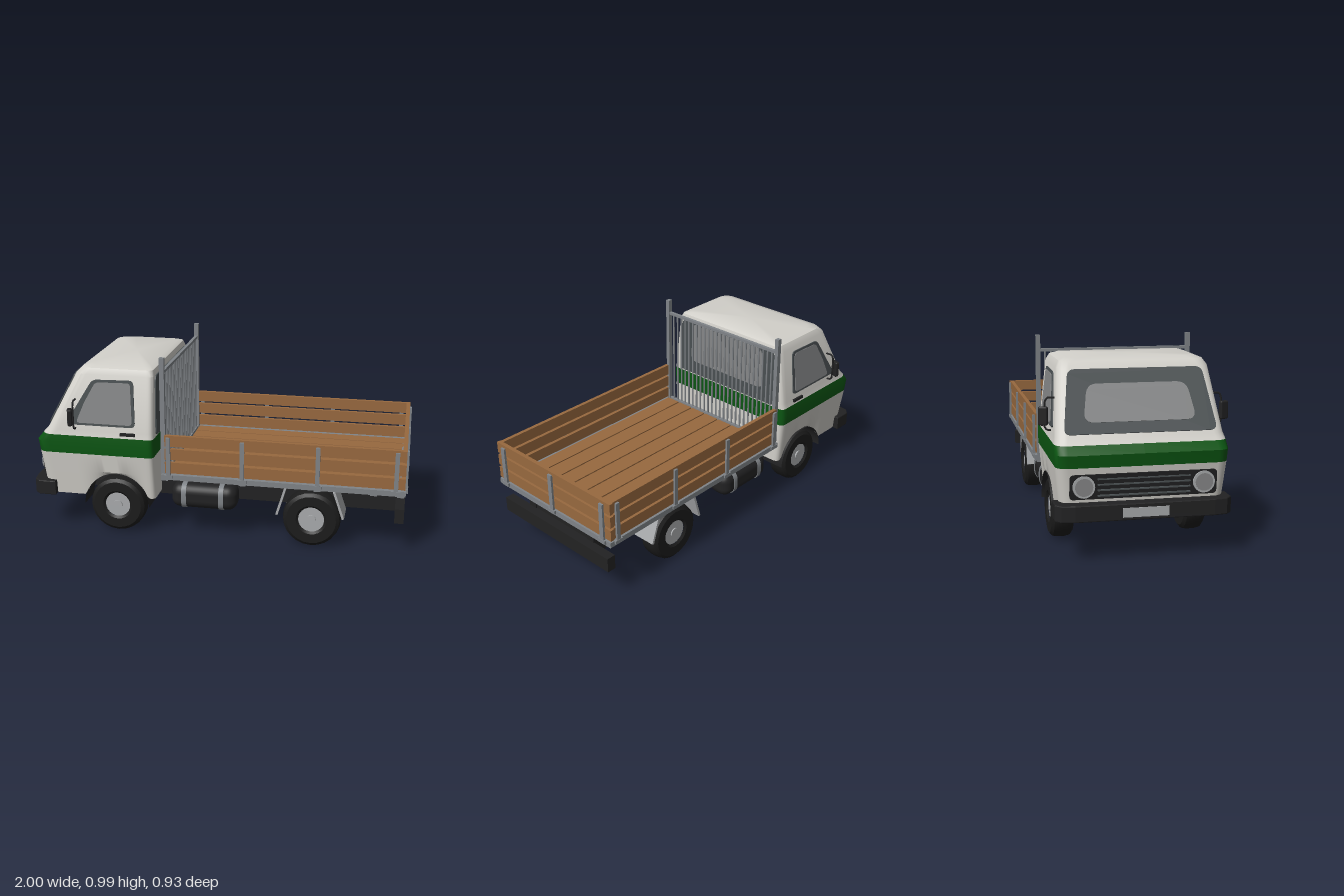
import * as THREE from 'three';
import { toCreasedNormals } from 'three/addons/utils/BufferGeometryUtils.js';
import { RoundedBoxGeometry } from 'three/addons/geometries/RoundedBoxGeometry.js';

const colours = {
  paint: 0xd2d0ca, green: 0x0b5512, wood: 0x98693f, black: 0x222223, tyre: 0x1c1c1c,
  darkGlass: 0x4a5052, paleGlass: 0x868788, steel: 0x808488, lightSteel: 0xa9abad,
};

// Cab outline by height: [y, front x, half width, back x]
const LEVELS = [
  [0.20, -0.93, 0.385, -0.32], [0.34, -0.945, 0.40, -0.32], [0.44, -0.957, 0.41, -0.32],
  [0.50, -0.965, 0.413, -0.32], [0.54, -0.932, 0.41, -0.32], [0.57, -0.905, 0.403, -0.32],
  [0.87, -0.745, 0.37, -0.32], [0.90, -0.715, 0.352, -0.328], [0.912, -0.67, 0.315, -0.35],
];
const AXLE_F = -0.53, AXLE_R = 0.515, WHEEL_R = 0.152, ARCH_R = 0.178;

// One closed ring round the cab; the lower edge is raised over the wheels
function cabRing([y, xf, w, xb]) {
  const half = [[xb, 0]];
  const arc = (cx, cz, r, from, n) => {
    for (let i = 0; i <= n; i++) {
      const a = from + (i / n) * Math.PI / 2;
      half.push([cx + r * Math.cos(a), cz + r * Math.sin(a)]);
    }
  };
  const rb = 0.025, rf = 0.055;
  arc(xb - rb, w - rb, rb, 0, 3);
  for (let i = 1; i < 32; i++) half.push([THREE.MathUtils.lerp(xb - rb, xf + rf, i / 32), w]);
  arc(xf + rf, w - rf, rf, Math.PI / 2, 5);
  half.push([xf, 0]);
  const ring = half.concat(half.slice(1, -1).reverse().map(([x, z]) => [x, -z]));
  return ring.map(([x, z]) => {
    const dx = x - AXLE_F;
    const arch = Math.abs(z) > 0.2 && Math.abs(dx) < ARCH_R ? WHEEL_R + Math.sqrt(ARCH_R ** 2 - dx * dx) : 0;
    return [x, Math.max(y, arch), z];
  });
}

function cabBand(levels, capped) {
  const rings = levels.map(cabRing), n = rings[0].length, pos = rings.flat(2), idx = [];
  for (let j = 0; j < rings.length - 1; j++) for (let i = 0; i < n; i++) {
    const a = j * n + i, b = j * n + (i + 1) % n;
    idx.push(a, a + n, b + n, a, b + n, b);
  }
  if (capped) {
    const top = levels.at(-1), base = (rings.length - 1) * n;
    pos.push((top[1] + top[3]) / 2, top[0] + 0.004, 0);
    for (let i = 0; i < n; i++) idx.push(rings.length * n, base + (i + 1) % n, base + i);
  }
  const g = new THREE.BufferGeometry();
  g.setAttribute('position', new THREE.Float32BufferAttribute(pos, 3));
  g.setIndex(idx);
  return toCreasedNormals(g, 0.6);
}

// Polygon with rounded corners
function roundedShape(pts, r) {
  const s = new THREE.Shape(), v = pts.map((p) => new THREE.Vector2(...p));
  v.forEach((p, i) => {
    const toward = (q) => p.clone().add(q.clone().sub(p).setLength(r));
    const a = toward(v[(i + v.length - 1) % v.length]), b = toward(v[(i + 1) % v.length]);
    i ? s.lineTo(a.x, a.y) : s.moveTo(a.x, a.y);
    s.quadraticCurveTo(p.x, p.y, b.x, b.y);
  });
  s.closePath();
  return s;
}

export function createModel() {
  const root = new THREE.Group();
  root.name = 'flatbedTruck';
  const M = {};
  for (const [name, color] of Object.entries(colours)) {
    M[name] = new THREE.MeshStandardMaterial({ color });
    M[name].name = name;
  }
  const add = (name, geo, mat, x = 0, y = 0, z = 0) => {
    const m = new THREE.Mesh(geo, mat);
    m.name = name;
    m.position.set(x, y, z);
    root.add(m);
    return m;
  };
  // Box given by its limits
  const box = (name, mat, x0, x1, y0, y1, z0, z1) =>
    add(name, new THREE.BoxGeometry(x1 - x0, y1 - y0, z1 - z0), mat, (x0 + x1) / 2, (y0 + y1) / 2, (z0 + z1) / 2);
  const rod = (name, mat, r, len, axis, x, y, z, seg = 14) => {
    const g = new THREE.CylinderGeometry(r, r, len, seg);
    if (axis === 'x') g.rotateZ(Math.PI / 2);
    if (axis === 'z') g.rotateX(Math.PI / 2);
    return add(name, g, mat, x, y, z);
  };
  // Thin plate lying in the plane of origin, u and v
  const plate = (name, mat, pts, r, origin, u, v, thick = 0.006) => {
    u = new THREE.Vector3(...u).normalize();
    v = new THREE.Vector3(...v).normalize();
    const g = new THREE.ExtrudeGeometry(roundedShape(pts, r), { depth: thick, bevelEnabled: false, curveSegments: 5 });
    g.applyMatrix4(new THREE.Matrix4().makeBasis(u, v, u.clone().cross(v)));
    return add(name, g, mat, ...origin);
  };
  const trapezoid = (b, t, y0, y1) => [[-b, y0], [b, y0], [t, y1], [-t, y1]];

  // Cab shell
  add('cabLower', cabBand(LEVELS.slice(0, 3)), M.paint);
  add('cabStripe', cabBand(LEVELS.slice(2, 5)), M.green);
  add('cabUpper', cabBand(LEVELS.slice(4), true), M.paint);
  box('cabFloor', M.black, -0.92, -0.325, 0.2, 0.23, -0.25, 0.25);

  // Windscreen and rear window, each with a paler centre
  const wu = [0, 0, 1], wv = [0.16, 0.3, 0], wo = [-0.905, 0.57, 0];
  plate('windscreen', M.darkGlass, trapezoid(0.365, 0.325, 0.015, 0.335), 0.035, wo, wu, wv);
  plate('windscreenCentre', M.paleGlass, trapezoid(0.27, 0.24, 0.07, 0.26), 0.05, wo, wu, wv, 0.009);
  plate('rearWindow', M.darkGlass, trapezoid(0.35, 0.335, 0.55, 0.87), 0.03, [-0.32, 0, 0], [0, 0, -1], [0, 1, 0]);
  plate('rearWindowCentre', M.paleGlass, trapezoid(0.265, 0.255, 0.63, 0.865), 0.04, [-0.32, 0, 0], [0, 0, -1], [0, 1, 0], 0.009);

  // Grille, bumper and number plate
  const nose = [[-0.945, 0.34, 0], [0, 0, 1], [-0.012, 0.1, 0]];
  plate('grille', M.black, trapezoid(0.35, 0.35, -0.05, 0.07), 0.02, ...nose);
  for (let i = 0; i < 4; i++) box('grilleBar', M.darkGlass, -0.963, -0.95, 0.305 + i * 0.026, 0.311 + i * 0.026, -0.22, 0.22);
  const edge = [[-0.87, 0.415], [-0.955, 0.415], [-0.982, 0.39], [-0.992, 0.33]];
  const inner = [[-0.925, 0.38], [-0.87, 0.39]];
  const flip = (p) => p.map(([x, z]) => [x, -z]).reverse();
  const outline = [...edge, ...flip(edge), ...flip(inner), ...inner];
  const bumper = new THREE.ExtrudeGeometry(new THREE.Shape(outline.map((p) => new THREE.Vector2(...p))),
    { depth: 0.07, bevelSize: 0.005, bevelThickness: 0.005, bevelSegments: 2 });
  add('frontBumper', bumper.rotateX(Math.PI / 2), M.black, 0, 0.27, 0);
  box('numberPlate', M.lightSteel, -1, -0.993, 0.21, 0.255, -0.11, 0.11);

  // Tyre profile
  const tyreGeo = toCreasedNormals(new THREE.LatheGeometry(
    [[0.068, -0.045], [0.08, -0.055], [0.13, -0.055], [0.147, -0.042], [WHEEL_R, -0.02], [WHEEL_R, 0.02],
      [0.147, 0.042], [0.13, 0.055], [0.08, 0.055], [0.068, 0.045]].map((p) => new THREE.Vector2(...p)), 24), 0.6)
    .rotateX(Math.PI / 2);
  const archMat = M.black.clone();
  archMat.side = THREE.DoubleSide;

  for (const s of [1, -1]) {
    const span = (a, b) => (s > 0 ? [a, b] : [-b, -a]);

    // Door window, quarter light and handle
    const side = [[0, 0.57, s * 0.403], [s, 0, 0], [0, 0.3, -s * 0.033]];
    const sided = (pts) => pts.map(([x, y]) => [x * s, y]);
    plate('doorWindow', M.darkGlass, sided([[-0.795, 0.03], [-0.645, 0.275], [-0.425, 0.28], [-0.415, 0.03]]), 0.025, ...side);
    plate('doorGlass', M.paleGlass, sided([[-0.735, 0.042], [-0.69, 0.15], [-0.628, 0.262], [-0.44, 0.266], [-0.43, 0.042]]), 0.02, ...side, 0.009);
    box('doorHandle', M.black, -0.495, -0.415, 0.555, 0.57, ...span(0.4, 0.415));

    // Headlight
    rod('headlightRim', M.lightSteel, 0.052, 0.03, 'x', -0.95, 0.352, s * 0.285, 24);
    rod('headlight', M.paleGlass, 0.042, 0.036, 'x', -0.952, 0.352, s * 0.285, 24);

    // Mirror on its bracket
    const arm = [[0.385, 0.735], [0.42, 0.735], [0.432, 0.71], [0.432, 0.6], [0.42, 0.582], [0.395, 0.582]];
    const path = new THREE.CatmullRomCurve3(arm.map(([z, y]) => new THREE.Vector3(-0.74, y, s * z)), false, 'catmullrom', 0.2);
    add('mirrorArm', new THREE.TubeGeometry(path, 20, 0.005, 6), M.black);
    add('mirror', new RoundedBoxGeometry(0.025, 0.09, 0.046, 2, 0.008), M.black, -0.755, 0.652, s * 0.441).rotation.y = s * 0.35;

    // Front wheel housing and lip
    const well = new THREE.CylinderGeometry(ARCH_R, ARCH_R, 0.15, 24, 1, true, -Math.PI / 2, Math.PI);
    add('wheelHousing', well.rotateX(-Math.PI / 2), archMat, AXLE_F, WHEEL_R, s * 0.323);
    box('cabFloorFront', M.black, -0.92, -0.705, 0.2, 0.22, ...span(0.25, 0.37));

    // Wheels
    for (const x of [AXLE_F, AXLE_R]) {
      add('tyre', tyreGeo, M.tyre, x, WHEEL_R, s * 0.335);
      rod('rim', M.lightSteel, 0.069, 0.085, 'z', x, WHEEL_R, s * 0.335, 24);
      rod('hub', M.lightSteel, 0.025, 0.1, 'z', x, WHEEL_R, s * 0.335, 12);
      box('leafSpring', M.steel, x - 0.15, x + 0.15, 0.165, 0.18, ...span(0.2, 0.24));
    }

    // Chassis rail
    box('chassisRail', M.black, -0.6, 0.945, 0.18, 0.33, ...span(0.195, 0.245));

    // Rear mudguard flaps
    for (const [x, tilt] of [[0.355, -0.28], [0.655, 0.33]])
      add('mudFlap', new THREE.BoxGeometry(0.012, 0.155, 0.14), M.lightSteel, x, 0.243, s * 0.32).rotation.z = tilt;

    // Fuel tank with straps
    add('fuelTank', new RoundedBoxGeometry(0.355, 0.135, 0.135, 4, 0.05), M.black, -0.06, 0.222, s * 0.315);
    for (const x of [-0.165, 0.035])
      add('tankStrap', toCreasedNormals(new THREE.ExtrudeGeometry(
        roundedShape([[-0.071, -0.071], [0.071, -0.071], [0.071, 0.071], [-0.071, 0.071]], 0.06),
        { depth: 0.026, bevelEnabled: false }).rotateY(Math.PI / 2), 0.6), M.steel, x - 0.013, 0.222, s * 0.315);

    // Bed side: sill, boards and stakes
    box('sideSill', M.steel, -0.275, 0.985, 0.332, 0.36, ...span(0.395, 0.42));
    for (const y of [0.368, 0.442, 0.515]) box('sideBoard', M.wood, -0.255, 0.985, y, y + 0.06, ...span(0.395, 0.415));
    for (const x of [-0.235, 0.155, 0.545, 0.94]) {
      box('sideStake', M.steel, x - 0.011, x + 0.011, 0.345, 0.565, ...span(0.413, 0.426));
      box('stakeFoot', M.steel, x - 0.024, x + 0.024, 0.343, 0.36, ...span(0.41, 0.428));
    }
    box('headboardPost', M.steel, -0.277, -0.252, 0.335, 0.985, ...span(0.386, 0.408));
  }

  // Axles and cross members
  for (const x of [AXLE_F, AXLE_R]) rod('axle', M.steel, 0.013, 0.6, 'z', x, 0.15, 0);
  for (const x of [-0.25, 0.1, 0.4, 0.7, 0.92]) box('crossMember', M.black, x - 0.02, x + 0.02, 0.25, 0.32, -0.2, 0.2);
  for (const x of [-0.26, 0.155, 0.545, 0.83, 0.965]) box('bedBearer', M.steel, x - 0.018, x + 0.018, 0.322, 0.345, -0.41, 0.41);
  box('rearBumper', M.black, 0.94, 0.988, 0.172, 0.25, -0.39, 0.39);

  // Bed floor planks
  for (let i = 0; i < 8; i++) {
    const z = -0.41 + i * 0.1025;
    box('floorPlank', M.wood, -0.25, 0.975, 0.345, 0.36, z + 0.004, z + 0.0985);
  }

  // Tailgate
  box('tailSill', M.steel, 0.955, 0.99, 0.332, 0.36, -0.42, 0.42);
  for (const y of [0.368, 0.442, 0.515]) box('tailBoard', M.wood, 0.965, 0.986, y, y + 0.06, -0.42, 0.42);
  for (const z of [-0.365, 0, 0.365]) {
    box('tailStake', M.steel, 0.984, 0.997, 0.345, 0.56, z - 0.013, z + 0.013);
    box('tailStakeFoot', M.steel, 0.984, 1, 0.34, 0.36, z - 0.024, z + 0.024);
  }

  // Headboard grille behind the cab
  box('headboardTopRail', M.steel, -0.273, -0.256, 0.9, 0.915, -0.39, 0.39);
  box('headboardBottomRail', M.steel, -0.273, -0.256, 0.345, 0.365, -0.39, 0.39);
  for (let i = 1; i < 26; i++) rod('headboardBar', M.steel, 0.005, 0.55, 'y', -0.265, 0.63, -0.39 + i * 0.03, 8);

  return root;
}
